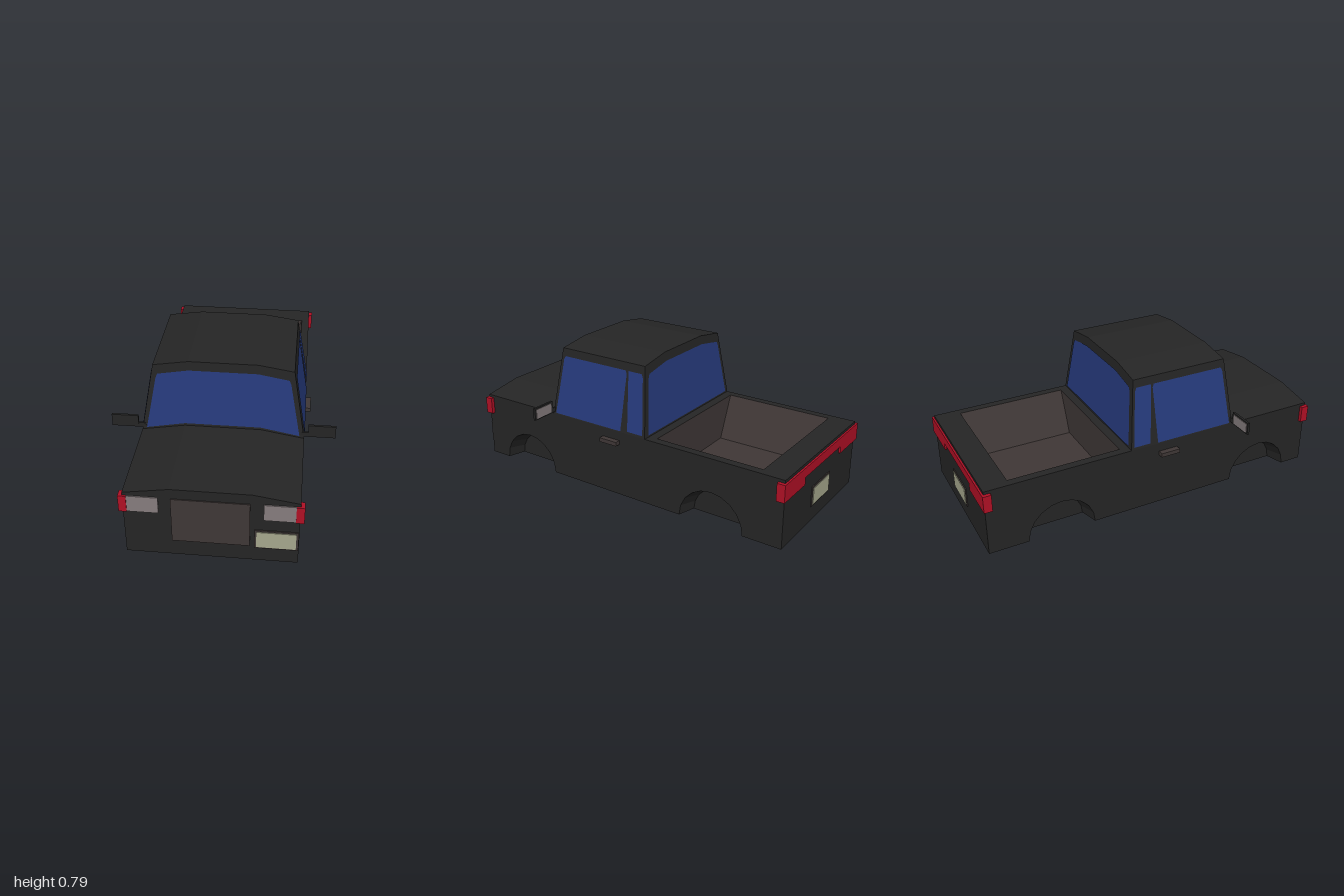
import * as THREE from 'three';

const paint = (name, color) => new THREE.MeshStandardMaterial({ name, color, side: THREE.DoubleSide });

// Flat polygons (with optional holes) in space, each facing its "out" direction
function polygons(list) {
  const pos = [];
  for (const { pts, out, holes = [] } of list) {
    const dir = new THREE.Vector3(...out);
    const size = out.map(Math.abs);
    const drop = size.indexOf(Math.max(...size));
    const flat = (ring) => ring.map((p) => new THREE.Vector2(...p.filter((_, i) => i !== drop)));
    const all = [pts, ...holes].flat().map((p) => new THREE.Vector3(...p));
    for (const f of THREE.ShapeUtils.triangulateShape(flat(pts), holes.map(flat))) {
      const [a, b, c] = f.map((i) => all[i]);
      const n = b.clone().sub(a).cross(c.clone().sub(a));
      for (const v of n.dot(dir) > 0 ? [a, b, c] : [a, c, b]) pos.push(v.x, v.y, v.z);
    }
  }
  const g = new THREE.BufferGeometry();
  g.setAttribute('position', new THREE.Float32BufferAttribute(pos, 3));
  g.computeVertexNormals();
  return g;
}

export function createModel() {
  const body = paint('body black', 0x252525);
  const glass = paint('window blue', 0x263a7c);
  const red = paint('lamp red', 0xb01025);
  const lamp = paint('headlight grey', 0x857c7d);
  const plate = paint('plate cream', 0xa5a68c);
  const trim = paint('trim brown', 0x3f3736);
  const truck = new THREE.Group();
  truck.name = 'pickupTruck';

  const add = (name, geo, mat) => {
    const m = new THREE.Mesh(geo, mat);
    m.name = name;
    truck.add(m);
  };
  const panels = (name, mat, list) => add(name, polygons(list), mat);
  // Box given by its limits on each axis
  const box = (name, mat, [x0, x1], [y0, y1], [z0, z1]) => {
    const g = new THREE.BoxGeometry(Math.abs(x1 - x0), y1 - y0, z1 - z0);
    g.translate((x0 + x1) / 2, (y0 + y1) / 2, (z0 + z1) / 2);
    add(name, g, mat);
  };

  const W = 0.43, END = 0.99, BELT = 0.38, IN = 0.33;
  const wheels = [-0.58, 0.67], R = 0.19, RI = 0.16, SEG = 10;
  const arc = (zc, r, x) => Array.from({ length: SEG + 1 }, (_, i) => {
    const a = Math.PI * (1 - i / SEG);
    return [x, i % SEG ? r * Math.sin(a) : 0, zc + r * Math.cos(a)];
  });

  // Body sides with tapered wheel arches
  for (const s of [-1, 1]) {
    const side = s > 0 ? 'left' : 'right';
    const x = s * W;
    panels(side + 'BodySide', body, [{
      pts: [[x, 0, -END], ...wheels.flatMap((z) => arc(z, R, x)), [x, 0, END], [x, BELT, END], [x, BELT, -END]],
      out: [s, 0, 0],
    }]);
    wheels.forEach((zc, k) => {
      const outer = arc(zc, R, x), inner = arc(zc, RI, s * IN);
      const list = [{ pts: inner, out: [s, 0, 0] }];
      for (let i = 0; i < SEG; i++) {
        const a = Math.PI * (1 - (i + 0.5) / SEG);
        list.push({ pts: [outer[i], outer[i + 1], inner[i + 1], inner[i]], out: [0, -Math.sin(a), -Math.cos(a)] });
      }
      panels(side + (k ? 'Front' : 'Rear') + 'WheelArch', body, list);
    });
  }

  // Underside, notched at the arches
  const notch = (s, zs, d) => zs.flatMap((z) => [
    [s * W, 0, z - d * R], [s * IN, 0, z - d * RI], [s * IN, 0, z + d * RI], [s * W, 0, z + d * R]]);
  panels('underside', body, [{
    pts: [[W, 0, -END], ...notch(1, wheels, 1), [W, 0, END],
      [-W, 0, END], ...notch(-1, [...wheels].reverse(), -1), [-W, 0, -END]],
    out: [0, -1, 0],
  }]);

  // Crowned hood with nose, and the tailgate
  const crown = (z) => [[-W, BELT, z], [-0.2, 0.417, z], [0.2, 0.417, z], [W, BELT, z]];
  const noseTop = crown(END), cowl = crown(0.465);
  panels('hood', body, [0, 1, 2].map((i) => ({
    pts: [noseTop[i], noseTop[i + 1], cowl[i + 1], cowl[i]], out: [0, 1, 0] })));
  panels('nose', body, [{ pts: [[-W, 0, END], ...noseTop, [W, 0, END]], out: [0, 0, 1] }]);
  panels('tailgate', body, [{
    pts: [[-W, 0, -END], [W, 0, -END], [W, BELT, -END], [-W, BELT, -END]], out: [0, 0, -1] }]);

  // Bed rim and the load bed with sloping sides
  const rect = (x, y, z0, z1) => [[-x, y, z0], [x, y, z0], [x, y, z1], [-x, y, z1]];
  const rim = rect(0.385, BELT, -0.85, -0.22), floor = rect(0.28, 0.135, -0.85, -0.22);
  panels('bedRim', body, [{ pts: rect(W, BELT, -END, -0.165), holes: [rim], out: [0, 1, 0] }]);
  const inward = [[0, 0, 1], [-1, 0, 0], [0, 0, -1], [1, 0, 0]];
  panels('loadBed', trim, [{ pts: floor, out: [0, 1, 0] }, ...inward.map((out, i) => {
    const j = (i + 1) % 4;
    return { pts: [rim[i], rim[j], floor[j], floor[i]], out };
  })]);

  // Cabin planes lean inwards with height
  const lean = (y) => (y - BELT) / 0.38;
  const front = (d) => ([x, y]) => [x, y, 0.47 - 0.04 * lean(y) + d];
  const back = (d) => ([x, y]) => [x, y, -0.17 + 0.04 * lean(y) - d];
  const flank = (s, d) => ([z, y]) => [s * (W - 0.065 * lean(y) + d), y, z];
  const roof = [[-0.365, 0.76], [-0.18, 0.788], [0.18, 0.788], [0.365, 0.76]];
  const fRoof = roof.map(front(0)), bRoof = roof.map(back(0));
  panels('cabin', body, [
    { pts: [...fRoof, ...[[W, BELT], [-W, BELT]].map(front(0))], out: [0, 0, 1] },
    { pts: [...bRoof, ...[[W, BELT], [-W, BELT]].map(back(0))], out: [0, 0, -1] },
    ...[-1, 1].map((s) => ({
      pts: [[0.47, BELT], [0.43, 0.76], [-0.13, 0.76], [-0.17, BELT]].map(flank(s, 0)), out: [s, 0, 0] })),
  ]);
  panels('roof', body, [0, 1, 2].map((i) => ({
    pts: [fRoof[i], fRoof[i + 1], bRoof[i + 1], bRoof[i]], out: [0, 1, 0] })));

  // Windows
  const top = [[-0.35, 0.69], [-0.34, 0.713], [-0.18, 0.74], [0.18, 0.74], [0.34, 0.713], [0.35, 0.69]];
  panels('windshield', glass, [{
    pts: [...top, [0.405, 0.395], [0.2, 0.432], [-0.2, 0.432], [-0.405, 0.395]].map(front(0.004)), out: [0, 0, 1] }]);
  panels('rearWindow', glass, [{
    pts: [...top, [0.4, 0.392], [-0.4, 0.392]].map(back(0.004)), out: [0, 0, -1] }]);
  for (const s of [-1, 1]) {
    const side = s > 0 ? 'left' : 'right';
    const pane = (name, pts) => panels(side + name, glass, [{ pts: pts.map(flank(s, 0.004)), out: [s, 0, 0] }]);
    pane('DoorWindow', [[0.448, 0.387], [0.415, 0.7], [0.405, 0.718], [-0.012, 0.718], [-0.02, 0.7], [-0.01, 0.387]]);
    pane('QuarterWindow', [[-0.055, 0.395], [-0.03, 0.718], [-0.115, 0.718], [-0.125, 0.7], [-0.155, 0.395]]);

    // Mirrors, door handles and lamps
    box(side + 'MirrorArm', body, [s * 0.41, s * 0.455], [0.392, 0.418], [0.458, 0.468]);
    box(side + 'Mirror', body, [s * 0.45, s * 0.593], [0.392, 0.462], [0.456, 0.469]);
    box(side + 'MirrorGlass', lamp, [s * 0.465, s * 0.583], [0.4, 0.454], [0.453, 0.456]);
    box(side + 'DoorHandle', trim, [s * W, s * 0.461], [0.306, 0.329], [0, 0.112]);
    box(side + 'Headlight', lamp, [s * 0.255, s * 0.41], [0.268, 0.363], [END, END + 0.006]);
    box(side + 'CornerLamp', red, [s * 0.41, s * 0.45], [0.268, 0.364], [0.955, 1]);
    box(side + 'TailCorner', red, [s * 0.41, s * 0.45], [0.268, 0.364], [-1, -0.955]);
    box(side + 'TailLamp', red, [s * 0.22, s * 0.41], [0.268, 0.364], [-1, -END]);
  }
  box('tailLampBar', red, [-0.22, 0.22], [0.31, 0.364], [-1, -END]);

  // Grille and number plates
  box('grille', trim, [-0.195, 0.19], [0.095, 0.36], [END, END + 0.005]);
  box('frontPlateFrame', trim, [0.212, 0.428], [0.085, 0.2], [END, END + 0.005]);
  box('frontPlate', plate, [0.222, 0.416], [0.094, 0.191], [END + 0.005, END + 0.009]);
  box('rearPlateFrame', trim, [-0.108, 0.108], [0.09, 0.205], [-END - 0.005, -END]);
  box('rearPlate', plate, [-0.098, 0.098], [0.099, 0.196], [-END - 0.009, -END - 0.005]);
  return truck;
}
